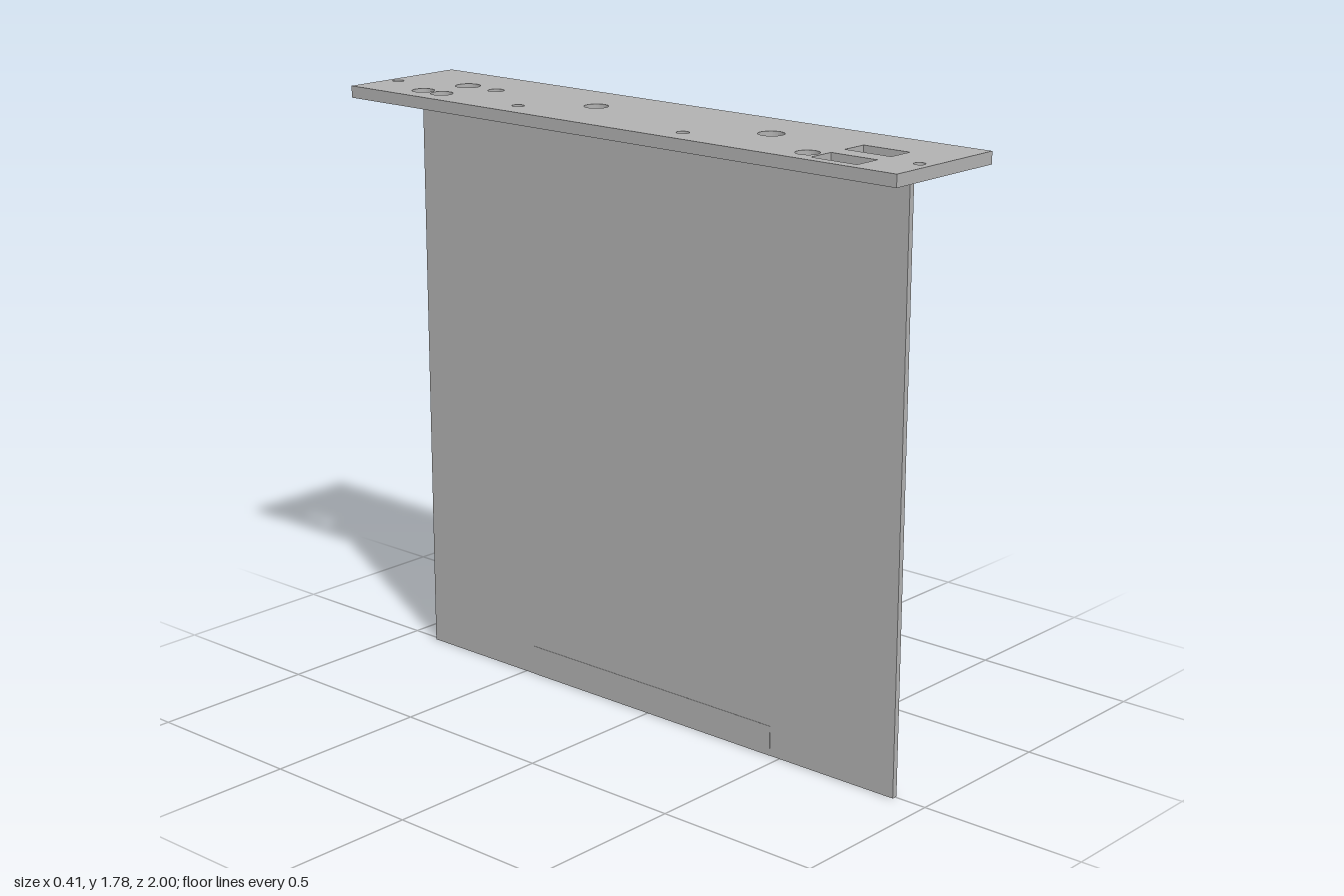
import * as THREE from 'three';

const grey = new THREE.MeshStandardMaterial({ color: 0xb2b2b2 });
grey.name = 'grey';

// Box given by its minimum and maximum corners
function box(name, [x0, y0, z0], [x1, y1, z1]) {
  const mesh = new THREE.Mesh(new THREE.BoxGeometry(x1 - x0, y1 - y0, z1 - z0), grey);
  mesh.position.set((x0 + x1) / 2, (y0 + y1) / 2, (z0 + z1) / 2);
  mesh.name = name;
  return mesh;
}

function rectangle(path, x0, z0, x1, z1) {
  path.moveTo(x0, z0);
  path.lineTo(x1, z0);
  path.lineTo(x1, z1);
  path.lineTo(x0, z1);
  path.closePath();
  return path;
}

// Face plate lying flat, pierced by round holes and connector windows
function facePlate(top, thickness) {
  const shape = rectangle(new THREE.Shape(), -0.205, -1, 0.205, 1);
  const roundHoles = [ // x, z, radius
    [-0.05, -0.965, 0.017], [-0.058, 0.962, 0.016],
    [-0.12, -0.783, 0.033], [-0.12, -0.705, 0.033],
    [0.025, -0.745, 0.037], [0.022, -0.625, 0.024],
    [-0.122, -0.393, 0.018], [0.02, -0.223, 0.035],
    [-0.127, 0.23, 0.018], [0.018, 0.417, 0.037],
    [-0.128, 0.657, 0.033],
  ];
  for (const [x, z, r] of roundHoles) {
    shape.holes.push(new THREE.Path().absarc(x, z, r, 0, Math.PI * 2, true));
  }
  for (const [x0, x1] of [[-0.172, -0.088], [-0.03, 0.05]]) {
    shape.holes.push(rectangle(new THREE.Path(), x0, 0.702, x1, 0.851));
  }
  const geometry = new THREE.ExtrudeGeometry(shape, {
    depth: thickness, bevelEnabled: false, curveSegments: 16,
  });
  geometry.rotateX(Math.PI / 2);
  const mesh = new THREE.Mesh(geometry, grey);
  mesh.position.y = top;
  mesh.name = 'facePlate';
  return mesh;
}

export function createModel() {
  const model = new THREE.Group();
  model.name = 'panelWithBoard';
  model.add(
    facePlate(1.776, 0.035),
    box('board', [-0.012, 0, -0.9], [0.005, 1.741, 0.9]),
    // Mounting lip under the plate
    box('mountingLip', [0.005, 1.727, -0.9], [0.134, 1.738, 0.9]),
    // Edge connector strip, barely proud of both faces of the board
    box('edgeConnector', [-0.013, 0, -0.465], [0.006, 0.09, 0.465]),
  );
  return model;
}
